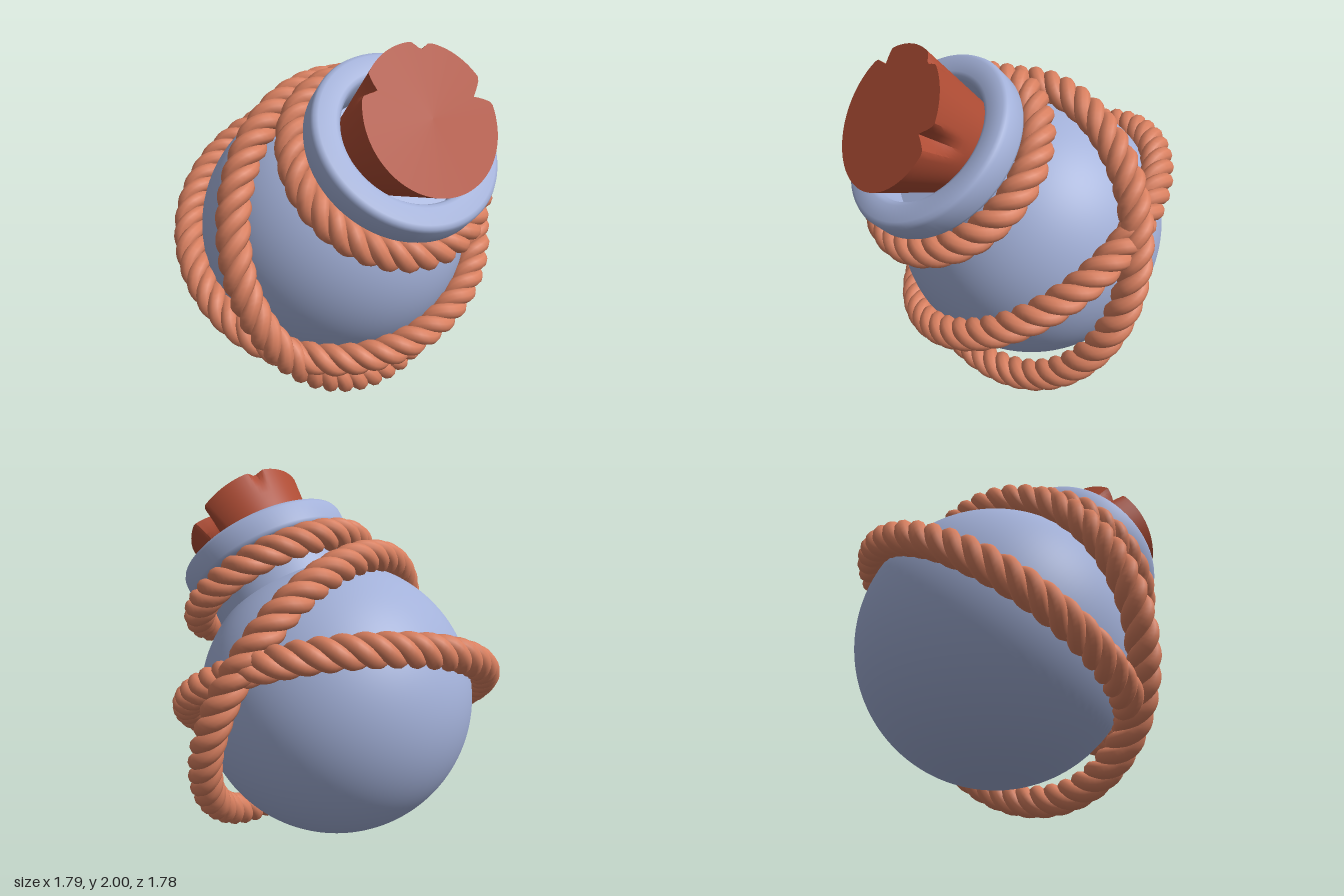
import * as THREE from 'three';
import { toCreasedNormals } from 'three/addons/utils/BufferGeometryUtils.js';

const CENTRE = new THREE.Vector3(-0.107, 0.815, 0.04);
const NECK_TILT = -0.692;

// One strand of a twisted rope, winding around a circle in the xy plane
class StrandCurve extends THREE.Curve {
  constructor(radius, twists, phase) {
    super();
    Object.assign(this, { radius, twists, phase });
  }
  getPoint(t, target = new THREE.Vector3()) {
    const phi = t * Math.PI * 2;
    const a = this.phase - this.twists * phi;
    const r = this.radius + 0.045 * Math.cos(a);
    return target.set(r * Math.cos(phi), r * Math.sin(phi), 0.045 * Math.sin(a));
  }
}

// Three-strand rope loop, given its centre and the normal of its plane
function makeRope(name, centre, normal, radius, twists, material) {
  const rope = new THREE.Group();
  rope.name = name;
  for (let i = 0; i < 3; i++) {
    const curve = new StrandCurve(radius, twists, (i * Math.PI * 2) / 3);
    curve.arcLengthDivisions = 600;
    const strand = new THREE.Mesh(new THREE.TubeGeometry(curve, twists * 20, 0.043, 10, true), material);
    strand.name = name + 'Strand';
    rope.add(strand);
  }
  rope.position.copy(centre);
  rope.quaternion.setFromUnitVectors(new THREE.Vector3(0, 0, 1), normal.clone().normalize());
  return rope;
}

// Tapered stopper with wedge-shaped chips around its top edge
function makeCork(material) {
  const length = 0.55, top = 0.36, bottom = 0.22;
  const geo = new THREE.CylinderGeometry(top, bottom, length, 120, 12);
  // angle, half width, depth, height
  const chips = [
    [-0.67, 0.16, 0.07, 0.16],
    [-2.98, 0.18, 0.09, 0.24],
    [-1.81, 0.14, 0.04, 0.1],
  ];
  const pos = geo.attributes.position;
  for (let i = 0; i < pos.count; i++) {
    const x = pos.getX(i), y = pos.getY(i), z = pos.getZ(i);
    const r = Math.hypot(x, z);
    if (r < 0.01) continue;
    const theta = Math.atan2(x, z);
    let cut = 0;
    for (const [angle, width, depth, height] of chips) {
      const d = Math.abs(Math.atan2(Math.sin(theta - angle), Math.cos(theta - angle)));
      const side = Math.max(0, 1 - d / width);
      const fade = Math.max(0, 1 - (length / 2 - y) / height);
      cut = Math.max(cut, depth * side * fade);
    }
    pos.setX(i, (x * (r - cut)) / r);
    pos.setZ(i, (z * (r - cut)) / r);
  }
  geo.translate(0, -length / 2, 0);
  const cork = new THREE.Mesh(toCreasedNormals(geo, 0.5), material);
  cork.name = 'cork';
  cork.position.set(0.68, 1.71, 0.055);
  cork.rotation.z = -0.944;
  return cork;
}

export function createModel() {
  const makeMaterial = (name, color) => {
    const m = new THREE.MeshStandardMaterial({ color });
    m.name = name;
    return m;
  };
  const glass = makeMaterial('paleBlue', 0xa3b1d9);
  const hemp = makeMaterial('ropeOrange', 0xd98060);
  const corkRed = makeMaterial('corkRed', 0xae4c34);

  const model = new THREE.Group();
  model.name = 'corkedFlask';

  // Round body, with neck and lip tilted towards +x
  const flask = new THREE.Group();
  flask.name = 'flask';
  flask.position.copy(CENTRE);
  flask.rotation.z = NECK_TILT;
  const body = new THREE.Mesh(new THREE.SphereGeometry(0.73, 96, 64), glass);
  body.name = 'body';
  flask.add(body);

  const profile = [
    [0.4, 0.55], [0.4, 0.82], [0.46, 0.82], [0.475, 0.828], [0.482, 0.845],
    [0.482, 0.945], [0.474, 0.963], [0.455, 0.974], [0.37, 0.974],
    [0.352, 0.967], [0.34, 0.95], [0.34, 0.74], [0, 0.74],
  ].map(([r, y]) => new THREE.Vector2(r, y));
  const neck = new THREE.Mesh(toCreasedNormals(new THREE.LatheGeometry(profile, 96), 0.7), glass);
  neck.name = 'neckAndLip';
  flask.add(neck);
  model.add(flask);

  model.add(makeCork(corkRed));

  // Ropes: one round the neck, two crossing round the body
  const axis = new THREE.Vector3(-Math.sin(NECK_TILT), Math.cos(NECK_TILT), 0);
  model.add(
    makeRope('neckRope', CENTRE.clone().addScaledVector(axis, 0.725), axis, 0.49, 10, hemp),
    makeRope('steepRope', new THREE.Vector3(0.03, 0.842, 0), new THREE.Vector3(0.9, 0.37, -0.18), 0.81, 16, hemp),
    makeRope('slantedRope', new THREE.Vector3(-0.105, 0.825, 0.045), new THREE.Vector3(0.469, 0.838, 0.28), 0.795, 16, hemp),
  );
  return model;
}
